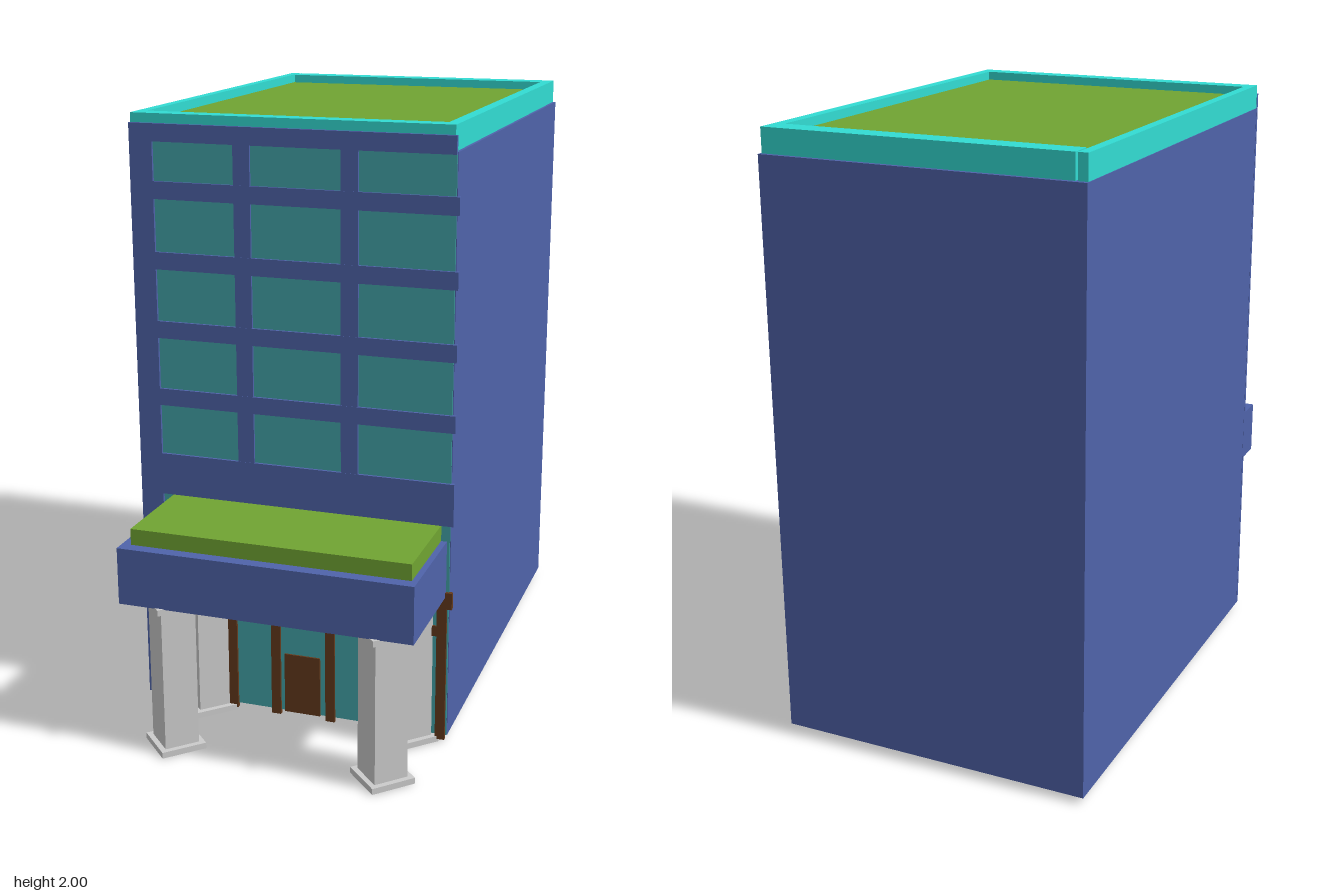
import * as THREE from 'three';

const mat = (color) => new THREE.MeshStandardMaterial({ color });

export function createModel() {
  const model = new THREE.Group();
  const blue = mat(0x4f63aa), glass = mat(0x43a5a9), teal = mat(0x32dcd3);
  const green = mat(0x70a432), brown = mat(0x633a1c), grey = mat(0xcccccc);

  // Box given by its extents on each axis
  const box = (name, m, [x0, x1], [y0, y1], [z0, z1], parent = model) => {
    const mesh = new THREE.Mesh(new THREE.BoxGeometry(x1 - x0, y1 - y0, z1 - z0), m);
    mesh.position.set((x0 + x1) / 2, (y0 + y1) / 2, (z0 + z1) / 2);
    mesh.name = name;
    parent.add(mesh);
    return mesh;
  };
  const group = (name) => {
    const g = new THREE.Group();
    g.name = name;
    model.add(g);
    return g;
  };

  // Main block and the glass sheet on its front
  box('body', blue, [-0.533, 0.523], [0.022, 1.92], [-0.934, 0.54]);
  box('frontGlass', glass, [-0.458, 0.521], [0.024, 1.93], [0.535, 0.546]);

  // Raised roof lawn, and parapet rails with a narrow joint around it
  box('roofLawn', green, [-0.495, 0.477], [1.915, 1.972], [-0.845, 0.482]);
  const parapet = group('parapet');
  const yRail = [1.921, 2];
  box('leftRail', teal, [0.479, 0.515], yRail, [-0.925, 0.542], parapet);
  box('rightRail', teal, [-0.532, -0.501], yRail, [-0.925, 0.542], parapet);
  box('backRail', teal, [-0.494, 0.479], yRail, [-0.925, -0.851], parapet);
  box('frontRail', teal, [-0.501, 0.479], yRail, [0.483, 0.542], parapet);

  // Facade grid: piers and floor bands standing proud of the glass
  const facade = group('facade');
  const zFacade = [0.542, 0.555];
  box('cornerPier', blue, [-0.533, -0.456], [0.022, 1.97], zFacade, facade);
  for (const x of [[-0.186, -0.131], [0.163, 0.219]]) {
    box('pier', blue, x, [0.76, 1.965], [0.542, 0.554], facade);
  }
  box('lowerBand', blue, [-0.456, 0.534], [0.753, 0.893], zFacade, facade);
  for (let i = 0; i < 4; i++) {
    const y = 1.059 + i * 0.225;
    box('floorBand', blue, [-0.456, 0.534], [y, y + 0.056], zFacade, facade);
  }
  box('topBand', blue, [-0.456, 0.522], [1.914, 1.97], zFacade, facade);

  // Entrance canopy with a planted top
  box('canopy', blue, [-0.45, 0.512], [0.512, 0.699], [0.54, 0.92]);
  box('canopyLawn', green, [-0.42, 0.493], [0.69, 0.752], [0.54, 0.88]);

  // Entrance frame and door
  const entrance = group('entrance');
  for (const x of [-0.433, -0.22, -0.066, 0.124, 0.297, 0.501]) {
    box('mullion', brown, [x - 0.016, x + 0.016], [0.01, 0.5], [0.542, 0.555], entrance);
  }
  box('header', brown, [-0.455, 0.534], [0.472, 0.528], [0.542, 0.556], entrance);
  box('transom', brown, [-0.44, 0.5], [0.373, 0.408], [0.542, 0.553], entrance);
  box('door', brown, [-0.036, 0.088], [0.022, 0.232], [0.542, 0.552], entrance);

  // Square columns set diagonally, each with a base and a cap
  const square = (name, r, y0, y1, parent) => {
    const s = r * Math.SQRT1_2;
    box(name, grey, [-s, s], [y0, y1], [-s, s], parent).rotation.y = Math.PI / 4;
  };
  for (const x of [-0.311, 0.391]) {
    for (const z of [0.55, 0.83]) {
      const column = group('column');
      column.position.set(x, 0, z);
      square('base', 0.106, 0, 0.02, column);
      square('shaft', 0.081, 0.015, 0.5, column);
      square('cap', 0.106, 0.494, 0.514, column);
    }
  }
  return model;
}
